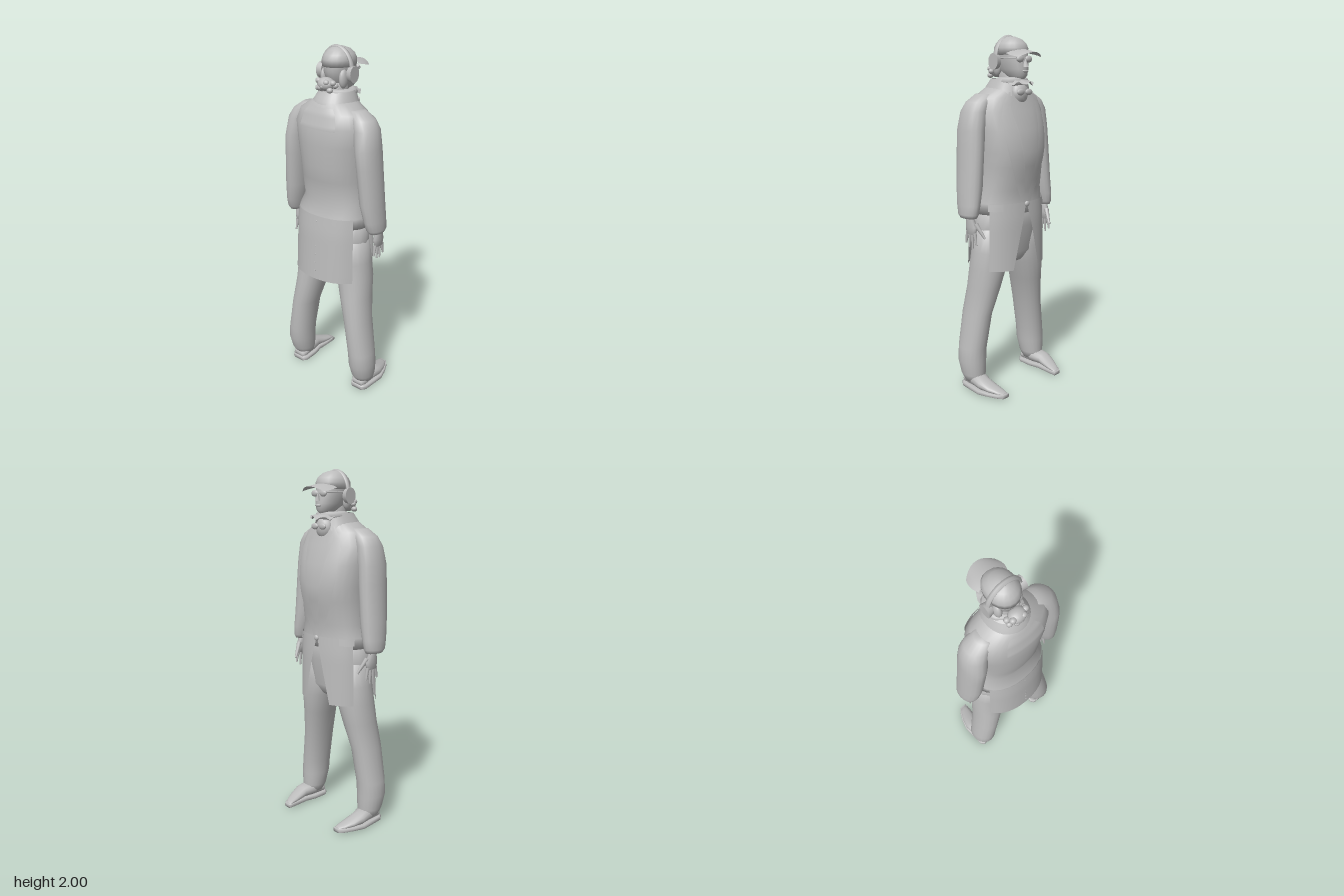
import * as THREE from 'three';

const grey = new THREE.MeshStandardMaterial({ color: 0xbcbcbc, side: THREE.DoubleSide });
grey.name = 'plain grey';

// Point on a body whose sections are [height, centreX, halfWidth, zBack, zFront]
function at(secs, y, a, off = 0, n = 2.2) {
  let i = 0;
  while (i < secs.length - 2 && y > secs[i + 1][0]) i++;
  const p = secs[i], q = secs[i + 1];
  const t = THREE.MathUtils.clamp((y - p[0]) / (q[0] - p[0]), 0, 1);
  const [, cx, rx, zb, zf] = p.map((v, k) => v + (q[k] - v) * t);
  const pw = v => Math.sign(v) * Math.abs(v) ** (2 / n);
  return [cx + (rx + off) * pw(Math.cos(a)), y, (zb + zf) / 2 + ((zb - zf) / 2 + off) * pw(Math.sin(a))];
}

// Surface from a grid of points; wrap joins the last column to the first
function surface(rows, wrap) {
  const m = rows[0].length, idx = [];
  for (let j = 0; j < rows.length - 1; j++) {
    for (let i = 0; i < (wrap ? m : m - 1); i++) {
      const a = j * m + i, b = j * m + (i + 1) % m;
      idx.push(a, a + m, b, b, a + m, b + m);
    }
  }
  const g = new THREE.BufferGeometry();
  g.setAttribute('position', new THREE.Float32BufferAttribute(rows.flat(2), 3));
  g.setIndex(idx);
  g.computeVertexNormals();
  return g;
}

// Closed body through the sections, ends capped
function loft(secs, n = 2.2, sides = 20) {
  const rows = secs.map(s => Array.from({ length: sides }, (_, i) => at(secs, s[0], i / sides * Math.PI * 2, 0, n)));
  const cap = s => Array.from({ length: sides }, () => [s[1], s[0], (s[3] + s[4]) / 2]);
  return surface([cap(secs[0]), ...rows, cap(secs[secs.length - 1])], true);
}

// Cloth panel lying on a body, between angles (degrees) that may vary with v
function panel(secs, y0, y1, a0, a1, off, cols = 12, rowsN = 10) {
  const rows = [];
  for (let j = 0; j <= rowsN; j++) {
    const v = j / rowsN, row = [];
    for (let i = 0; i <= cols; i++) {
      const a = a0(v) + (a1(v) - a0(v)) * i / cols;
      row.push(at(secs, y0 + (y1 - y0) * v, a * Math.PI / 180, off));
    }
    rows.push(row);
  }
  return surface(rows, false);
}

// Tapered rod between two points
function rod(p, q, r0, r1) {
  const a = new THREE.Vector3(...p), b = new THREE.Vector3(...q), d = b.clone().sub(a);
  const g = new THREE.CylinderGeometry(r1, r0, d.length(), 8);
  g.applyQuaternion(new THREE.Quaternion().setFromUnitVectors(new THREE.Vector3(0, 1, 0), d.normalize()));
  return g.translate(...a.add(b).multiplyScalar(0.5).toArray());
}

const ball = (x, y, z, rx, ry, rz) => new THREE.SphereGeometry(1, 14, 10).scale(rx, ry, rz).translate(x, y, z);

const TORSO = [[1.04, 0, .225, .17, -.145], [1.1, 0, .22, .175, -.14], [1.17, 0, .2, .135, -.14],
  [1.3, 0, .2, .165, -.165], [1.38, 0, .21, .17, -.175], [1.5, 0, .22, .18, -.16],
  [1.6, 0, .23, .175, -.125], [1.67, 0, .2, .155, -.105], [1.72, 0, .115, .13, -.09], [1.76, 0, .07, .08, -.08]];
const SKIRT = [[.72, 0, .235, .205, -.155], [1, 0, .228, .19, -.15], [1.1, 0, .222, .178, -.142]];
const COLLAR = [[1.68, 0, .13, .14, -.11], [1.72, 0, .112, .13, -.105], [1.77, 0, .088, .095, -.1]];

export function createModel() {
  const model = new THREE.Group();
  const add = (name, g) => {
    const m = new THREE.Mesh(g, grey);
    m.name = name;
    model.add(m);
  };

  // Coat
  add('coatBody', loft(TORSO, 2.2, 28));
  add('coatTail', panel(SKIRT, .72, 1.1, () => 30, () => 150, 0));
  add('collar', panel(COLLAR, 1.68, 1.77, v => -62 + 6 * v, v => 242 - 6 * v, .003, 24, 4));
  add('backFlap', panel(TORSO, 1.59, 1.7, () => 62, () => 118, .006));
  add('frontButton', ball(0, 1.09, -.15, .016, .016, .01));
  for (let i = 0; i < 7; i++) add('seamStud', ball(0, .77 + i * .05, .203 - i * .0038, .004, .004, .004));

  // Hips
  add('hips', loft([[.74, 0, .1, .1, -.06], [.8, 0, .21, .125, -.09], [.95, 0, .222, .14, -.1], [1.08, 0, .21, .14, -.11]]));

  for (const s of [1, -1]) {
    const flip = g => (s < 0 ? g.scale(-1, 1, 1) : g);
    const side = s > 0 ? 'left' : 'right';

    // Open front panels and lapels
    add(side + 'FrontPanel', flip(panel(SKIRT, .72, 1.1, () => -28, v => -68 - 22 * v, .002)));
    add(side + 'Lapel', flip(panel(TORSO, 1.1, 1.7, v => -84 + 34 * Math.sin(v * 2.4), v => -89 + 24 * v, .008)));
    add(side + 'PocketFlap', flip(panel(TORSO, 1.06, 1.1, () => -52, () => -25, .008, 6, 2)));

    // Sleeve
    add(side + 'Sleeve', flip(loft([[1.03, .288, .036, .07, -.045], [1.05, .287, .046, .085, -.055],
      [1.1, .28, .05, .1, -.06], [1.2, .265, .06, .115, -.058], [1.4, .249, .061, .128, -.055],
      [1.5, .24, .064, .132, -.052], [1.6, .222, .068, .115, -.048], [1.65, .195, .065, .1, -.04],
      [1.69, .15, .05, .08, -.02]], 2, 18)));

    // Hand
    add(side + 'Palm', flip(loft([[.94, .287, .014, .03, -.045], [.98, .285, .02, .035, -.05],
      [1.02, .288, .02, .025, -.03], [1.06, .288, .022, .025, -.03]], 2, 12)));
    [[.022, .035, .885], [.004, .008, .865], [-.016, -.02, .86], [-.036, -.05, .88]].forEach(([z0, z1, y]) =>
      add(side + 'Finger', flip(rod([.287, .95, z0], [.288, y, z1], .011, .005))));
    add(side + 'Thumb', flip(rod([.28, 1, -.035], [.255, .92, -.085], .014, .006)));

    // Trouser leg
    add(side + 'TrouserLeg', flip(loft([[.05, .237, .054, .095, -.025], [.09, .238, .066, .12, -.03],
      [.17, .238, .076, .143, -.03], [.25, .232, .075, .146, -.03], [.45, .2, .073, .148, -.045],
      [.6, .167, .087, .135, -.072], [.72, .146, .103, .125, -.09], [.82, .125, .112, .12, -.09],
      [.95, .12, .1, .12, -.08]], 2.1, 20)));

    // Shoe, laid along z
    const upper = [[-.1, .235, .035, .06, .02], [-.08, .235, .05, .08, .02], [0, .238, .053, .1, .02],
      [.06, .247, .048, .085, .02], [.12, .235, .042, .06, .02], [.17, .222, .03, .043, .02], [.195, .213, .018, .032, .02]];
    const sole = upper.map(([t, x, r]) => [t * 1.04, x, r + .006, .028, .004 * (t > .1)]);
    add(side + 'Shoe', flip(loft(upper, 2.2, 14).rotateX(-Math.PI / 2)));
    add(side + 'Sole', flip(loft(sole, 5, 16).rotateX(-Math.PI / 2)));

    // Headphone cup, spectacle lens and ear-side hair
    add(side + 'EarCup', new THREE.CylinderGeometry(.038, .044, .03, 14).scale(1, 1, .85).rotateZ(Math.PI / 2)
      .scale(s, 1, 1).translate(s * .1, 1.86, 0));
    add(side + 'Lens', ball(s * .032, 1.873, -.123, .025, .018, .012));
    add(side + 'TempleArm', rod([s * .055, 1.878, -.118], [s * .078, 1.878, -.01], .004, .004));
    add(side + 'SideHair', ball(s * .062, 1.835, .025, .02, .05, .03));
    add(side + 'HangingLens', ball(s * .03, 1.7, -.128, .026, .017, .01));
  }

  // Neck and head
  add('neck', loft([[1.68, 0, .055, .06, -.06], [1.82, 0, .05, .05, -.06]]));
  add('head', loft([[1.765, 0, .025, -.04, -.11], [1.785, 0, .045, .02, -.13], [1.82, 0, .062, .06, -.133],
    [1.87, 0, .073, .075, -.125], [1.92, 0, .077, .078, -.118], [1.95, 0, .065, .06, -.1]]));
  add('nose', new THREE.ConeGeometry(.015, .045, 6).scale(1, 1, 1.5).translate(0, 1.855, -.132));
  add('mouth', ball(0, 1.81, -.132, .022, .007, .008));

  // Scarf with a pointed front lip and a knot below
  const lip = [];
  for (let j = 0; j <= 4; j++) {
    const v = j / 4;
    lip.push(Array.from({ length: 13 }, (_, i) => {
      const a = (i / 12 - .5) * Math.PI;
      return [Math.sin(a) * (.06 + .02 * v), 1.765 - .02 * v + .012 * Math.sin(i * 2.3) * v, -.05 - Math.cos(a) * (.06 + .06 * v)];
    }));
  }
  add('scarfLip', surface(lip, false));
  add('scarf', new THREE.TorusGeometry(.062, .024, 8, 20).rotateX(Math.PI / 2).scale(1.1, 1, 1.1).translate(0, 1.755, -.025));
  add('scarfKnot', ball(0, 1.69, -.085, .055, .06, .04));

  // Cap with a curved brim
  add('cap', loft([[1.895, 0, .081, .082, -.12], [1.93, 0, .084, .082, -.12], [1.955, 0, .074, .07, -.108],
    [1.978, 0, .052, .048, -.08], [1.99, 0, .025, .025, -.045], [1.993, 0, .005, 0, -.02]], 2.1));
  const brim = [];
  for (let j = 0; j <= 5; j++) {
    const v = j / 5;
    brim.push(Array.from({ length: 13 }, (_, i) => {
      const u = i / 6 - 1;
      return [u * (.085 + .012 * Math.sin(v * Math.PI)), 1.928 - .02 * v - .025 * u * u, -.07 - .03 * (1 - u * u) - v * (.1 - .005 * u * u)];
    }));
  }
  add('capBrim', surface(brim, false));

  // Headphone band
  add('headBand', new THREE.TorusGeometry(.098, .009, 6, 24, Math.PI).scale(1, 1.22, 1.7).translate(0, 1.871, 0));

  // Hair bun with loose curls
  add('hairBun', ball(0, 1.812, .092, .05, .036, .042));
  for (let i = 0; i < 9; i++) {
    const a = i / 8 * Math.PI;
    add('hairCurl', ball(Math.cos(a) * .052, 1.808 + .022 * Math.sin(i * 2.4), .082 + Math.sin(a) * .036, .018, .015, .016));
  }
  return model;
}
